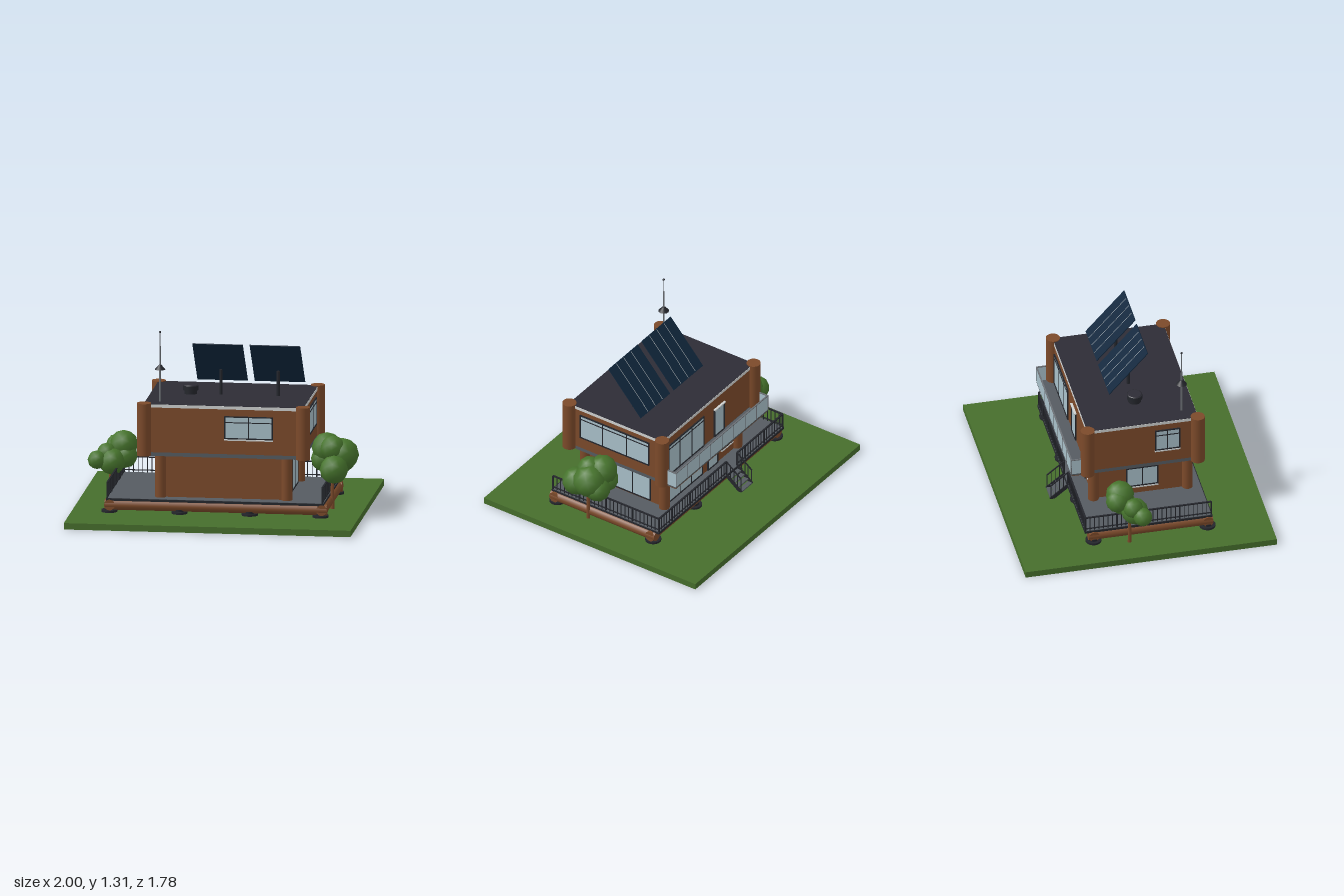
import * as THREE from 'three';

const mat = (name, color) => Object.assign(new THREE.MeshStandardMaterial({ color }), { name });
const M = {
  wood: mat('wood', 0x7c4a2a), grass: mat('grass', 0x466e2c), leaf: mat('leaf', 0x47752d),
  grey: mat('deck grey', 0x555b61), dark: mat('dark metal', 0x24262c), roof: mat('roof', 0x2d2c35),
  glass: mat('glass', 0xa9c0ca), white: mat('white trim', 0xcfd1d0), solar: mat('solar blue', 0x10273d),
  pole: mat('pole grey', 0x6c7075),
};

function add(parent, name, geo, material, x = 0, y = 0, z = 0) {
  const m = new THREE.Mesh(geo, material);
  m.name = name;
  m.position.set(x, y, z);
  parent.add(m);
  return m;
}
function group(parent, name) {
  const g = new THREE.Group();
  g.name = name;
  parent.add(g);
  return g;
}
// box given by its limits on each axis
const box = (p, name, m, x0, x1, y0, y1, z0, z1) =>
  add(p, name, new THREE.BoxGeometry(x1 - x0, y1 - y0, z1 - z0), m, (x0 + x1) / 2, (y0 + y1) / 2, (z0 + z1) / 2);
// upright cylinder standing on y0
const post = (p, name, m, x, z, y0, y1, r, rTop = r, n = 20) =>
  add(p, name, new THREE.CylinderGeometry(rTop, r, y1 - y0, n), m, x, (y0 + y1) / 2, z);

// framed window: a0..a1 along the wall, y0..y1 high, on the wall facing side
function windowOn(p, name, side, wall, a0, a1, y0, y1, splits = [], transom = 0, sill = false) {
  const g = group(p, name), w = a1 - a0, h = y1 - y0, t = 0.008;
  const turn = { front: 0, back: Math.PI, left: Math.PI / 2, right: -Math.PI / 2 }[side];
  const dir = side === 'front' || side === 'right' ? 1 : -1;
  const mid = (a0 + a1) / 2;
  if (side === 'front' || side === 'back') g.position.set(mid, y0, wall);
  else g.position.set(wall, y0, mid);
  g.rotation.y = turn;
  box(g, 'pane', M.glass, -w / 2, w / 2, 0, h, -0.002, 0.004);
  for (const x of [-w / 2, w / 2]) box(g, 'frameSide', M.dark, x - t / 2, x + t / 2, 0, h, -0.002, 0.009);
  for (const y of [0, h]) box(g, 'frameRail', M.dark, -w / 2 - t / 2, w / 2 + t / 2, y - t / 2, y + t / 2, -0.002, 0.009);
  for (const s of splits) {
    const x = (s - mid) * dir;
    box(g, 'mullion', M.dark, x - 0.003, x + 0.003, 0, h, -0.002, 0.008);
  }
  if (transom) box(g, 'transom', M.dark, -w / 2, w / 2, h - transom - 0.003, h - transom + 0.003, -0.002, 0.008);
  if (sill) box(g, 'sill', M.white, -w / 2 - 0.005, w / 2 + 0.005, -0.014, -0.005, -0.002, 0.012);
}

// railing between two floor points
function railing(p, name, ax, az, bx, bz, y = 0.145) {
  const g = group(p, name), len = Math.hypot(bx - ax, bz - az), n = Math.round(len / 0.032);
  g.position.set(ax, y, az);
  g.rotation.y = -Math.atan2(bz - az, bx - ax);
  box(g, 'topRail', M.dark, 0, len, 0.106, 0.114, -0.006, 0.006);
  box(g, 'bottomRail', M.dark, 0, len, 0.014, 0.02, -0.004, 0.004);
  for (let i = 0; i <= n; i++) {
    const r = i % 7 === 0 || i === n ? 0.005 : 0.0025, x = (len * i) / n;
    box(g, 'baluster', M.dark, x - r, x + r, 0, 0.11, -r, r);
  }
}

function tree(p, name, x, z, top, blobs) {
  const g = group(p, name);
  post(g, 'trunk', M.wood, x, z, 0.04, top, 0.014, 0.009, 8);
  for (const [bx, by, bz, r] of blobs) add(g, 'foliage', new THREE.IcosahedronGeometry(r, 1), M.leaf, bx, by, bz);
}

export function createModel() {
  const root = new THREE.Group();
  root.name = 'house';
  box(root, 'lawn', M.grass, -1, 1, 0, 0.045, -0.89, 0.89);

  // deck on logs and round feet
  const deck = group(root, 'deck');
  box(deck, 'deckFloor', M.grey, -0.755, 0.755, 0.134, 0.146, -0.412, 0.482);
  box(deck, 'deckEdge', M.dark, -0.76, 0.76, 0.128, 0.144, -0.417, 0.488);
  box(deck, 'deckCore', M.dark, -0.72, 0.72, 0.085, 0.13, -0.34, 0.44);
  for (const z of [0.455, -0.352]) {
    add(deck, 'longLog', new THREE.CylinderGeometry(0.038, 0.038, 1.55, 18), M.wood, 0.005, 0.097, z).rotation.z = Math.PI / 2;
    for (const x of [-0.74, -0.25, 0.24, 0.735]) {
      post(deck, 'foot', M.dark, x, z, 0.045, 0.06, 0.056);
      post(deck, 'footNeck', M.dark, x, z, 0.058, 0.075, 0.035);
    }
  }
  for (const x of [-0.735, 0.745])
    add(deck, 'sideLog', new THREE.CylinderGeometry(0.038, 0.038, 0.88, 18), M.wood, x, 0.097, 0.05).rotation.x = Math.PI / 2;
  railing(deck, 'leftRailing', 0.75, -0.41, 0.75, 0.48);
  railing(deck, 'rightRailing', -0.75, -0.41, -0.75, 0.48);
  railing(deck, 'backRailing', -0.07, -0.41, 0.75, -0.41);
  railing(deck, 'backRailing', -0.75, -0.41, -0.2, -0.41);

  // stairs at the back
  const stairs = group(root, 'stairs');
  for (let i = 0; i < 4; i++)
    box(stairs, 'tread', M.grey, -0.195, -0.075, 0.113 - i * 0.023, 0.123 - i * 0.023, -0.446 - i * 0.031, -0.412 - i * 0.031);
  const slope = Math.atan2(0.1, 0.125);
  for (const x of [-0.2, -0.07]) {
    for (const [name, y, h] of [['stringer', 0.09, 0.028], ['handrail', 0.203, 0.008]])
      add(stairs, name, new THREE.BoxGeometry(0.007, h, 0.155), M.dark, x, y, -0.474).rotation.x = -slope;
    for (let i = 0; i < 5; i++) {
      const z = -0.416 - i * 0.029, y = 0.14 - i * 0.023;
      box(stairs, 'stairBaluster', M.dark, x - 0.0025, x + 0.0025, y - 0.01, y + 0.11, z - 0.0025, z + 0.0025);
    }
  }

  // lower storey
  const low = group(root, 'lowerStorey');
  box(low, 'lowerWalls', M.wood, -0.39, 0.49, 0.14, 0.45, -0.275, 0.39);
  for (const x of [-0.39, 0.49]) for (const z of [-0.275, 0.39]) post(low, 'lowerColumn', M.wood, x, z, 0.14, 0.45, 0.038);
  windowOn(low, 'sideGlazing', 'left', 0.49, -0.16, 0.28, 0.16, 0.44, [-0.01, 0.14]);
  windowOn(low, 'smallSideWindow', 'right', -0.39, -0.04, 0.18, 0.21, 0.36, [0.07], 0, true);
  windowOn(low, 'backGlazing', 'back', -0.275, 0.035, 0.44, 0.16, 0.43, [0.17, 0.305]);
  windowOn(low, 'backDoor', 'back', -0.275, -0.15, -0.035, 0.15, 0.37);
  windowOn(low, 'smallBackWindow', 'back', -0.275, -0.33, -0.2, 0.225, 0.32, [-0.265], 0, true);

  // upper storey
  const up = group(root, 'upperStorey');
  box(up, 'floorSlab', M.grey, -0.5, 0.61, 0.442, 0.468, -0.338, 0.44);
  box(up, 'upperWalls', M.wood, -0.5, 0.61, 0.468, 0.785, -0.34, 0.44);
  box(up, 'roofTrim', M.white, -0.504, 0.614, 0.785, 0.807, -0.344, 0.444);
  box(up, 'roofTop', M.roof, -0.502, 0.612, 0.8, 0.81, -0.342, 0.442);
  for (const x of [-0.5, 0.61]) for (const z of [-0.34, 0.44]) post(up, 'upperColumn', M.wood, x, z, 0.445, 0.815, 0.049, 0.049, 24);
  windowOn(up, 'frontWindow', 'front', 0.44, 0.065, 0.395, 0.58, 0.733, [0.23], 0.04, true);
  windowOn(up, 'wideSideWindow', 'left', 0.61, -0.23, 0.345, 0.56, 0.745, [-0.043, 0.157], 0.03);
  windowOn(up, 'smallSideWindow', 'right', -0.5, 0.14, 0.31, 0.575, 0.735, [0.225], 0.04, true);
  windowOn(up, 'balconyGlazing', 'back', -0.34, 0.11, 0.54, 0.475, 0.72, [0.255, 0.4], 0.03);
  windowOn(up, 'balconyDoor', 'back', -0.34, -0.135, -0.02, 0.475, 0.69);
  box(up, 'doorCanopy', M.white, -0.143, -0.015, 0.695, 0.704, -0.356, -0.338);

  // balcony with glass rail
  const bal = group(root, 'balcony');
  box(bal, 'balconyFloor', M.grey, -0.505, 0.612, 0.45, 0.462, -0.457, -0.338);
  box(bal, 'balconyBase', M.wood, -0.503, 0.61, 0.444, 0.45, -0.455, -0.338);
  box(bal, 'backPane', M.glass, -0.505, 0.612, 0.462, 0.578, -0.458, -0.452);
  box(bal, 'balconyRail', M.pole, -0.508, 0.615, 0.576, 0.582, -0.46, -0.45);
  for (const x of [-0.503, 0.61]) {
    box(bal, 'endPane', M.glass, x - 0.003, x + 0.003, 0.462, 0.578, -0.452, -0.35);
    box(bal, 'endRail', M.pole, x - 0.005, x + 0.005, 0.576, 0.582, -0.452, -0.35);
  }
  for (let i = 0; i <= 8; i++) {
    const x = -0.503 + i * 0.139;
    box(bal, 'railPost', M.pole, x - 0.002, x + 0.002, 0.462, 0.578, -0.46, -0.451);
  }

  // tilted solar panels on poles
  for (const x of [-0.025, 0.375]) {
    const g = group(root, 'solarPanel');
    post(g, 'panelPole', M.dark, x + 0.011, 0.055, 0.805, 0.985, 0.011);
    const tilt = group(g, 'tiltedPanel');
    tilt.position.set(x, 1.03, 0.016);
    tilt.rotation.x = -Math.atan2(0.306, 0.272);
    box(tilt, 'panel', M.solar, -0.176, 0.176, -0.003, 0.003, -0.205, 0.205);
    for (const s of [-0.088, 0, 0.088])
      box(tilt, 'cellLine', M.white, s - 0.0015, s + 0.0015, 0.002, 0.004, -0.2, 0.2);
  }

  // roof vent and mast
  const vent = group(root, 'roofVent');
  post(vent, 'ventBody', M.dark, -0.225, 0.053, 0.805, 0.862, 0.045);
  post(vent, 'ventCap', M.dark, -0.225, 0.053, 0.835, 0.868, 0.054);
  post(vent, 'ventLid', M.roof, -0.225, 0.053, 0.868, 0.873, 0.05, 0.045);
  const mast = group(root, 'mast');
  post(mast, 'mastPole', M.pole, -0.4, 0.347, 0.805, 1.2, 0.007, 0.005, 10);
  post(mast, 'mastTip', M.pole, -0.4, 0.347, 1.2, 1.3, 0.003, 0.003, 8);
  post(mast, 'mastCone', M.dark, -0.4, 0.347, 1.035, 1.068, 0.037, 0.009);
  add(mast, 'mastBall', new THREE.SphereGeometry(0.008, 10, 8), M.dark, -0.4, 1.3, 0.347);

  // trees
  tree(root, 'leftTree', 0.778, 0.165, 0.36, [
    [0.84, 0.42, 0.11, 0.117], [0.73, 0.46, 0.08, 0.108], [0.8, 0.34, 0.25, 0.1],
    [0.71, 0.38, 0.07, 0.095], [0.78, 0.47, 0.15, 0.09], [0.83, 0.37, 0.05, 0.09],
  ]);
  tree(root, 'rightTree', -0.805, -0.11, 0.28, [
    [-0.72, 0.395, -0.16, 0.1], [-0.79, 0.29, -0.07, 0.095], [-0.89, 0.305, -0.035, 0.066],
    [-0.71, 0.32, -0.14, 0.09], [-0.77, 0.38, -0.19, 0.08], [-0.83, 0.345, -0.09, 0.07],
  ]);
  return root;
}
